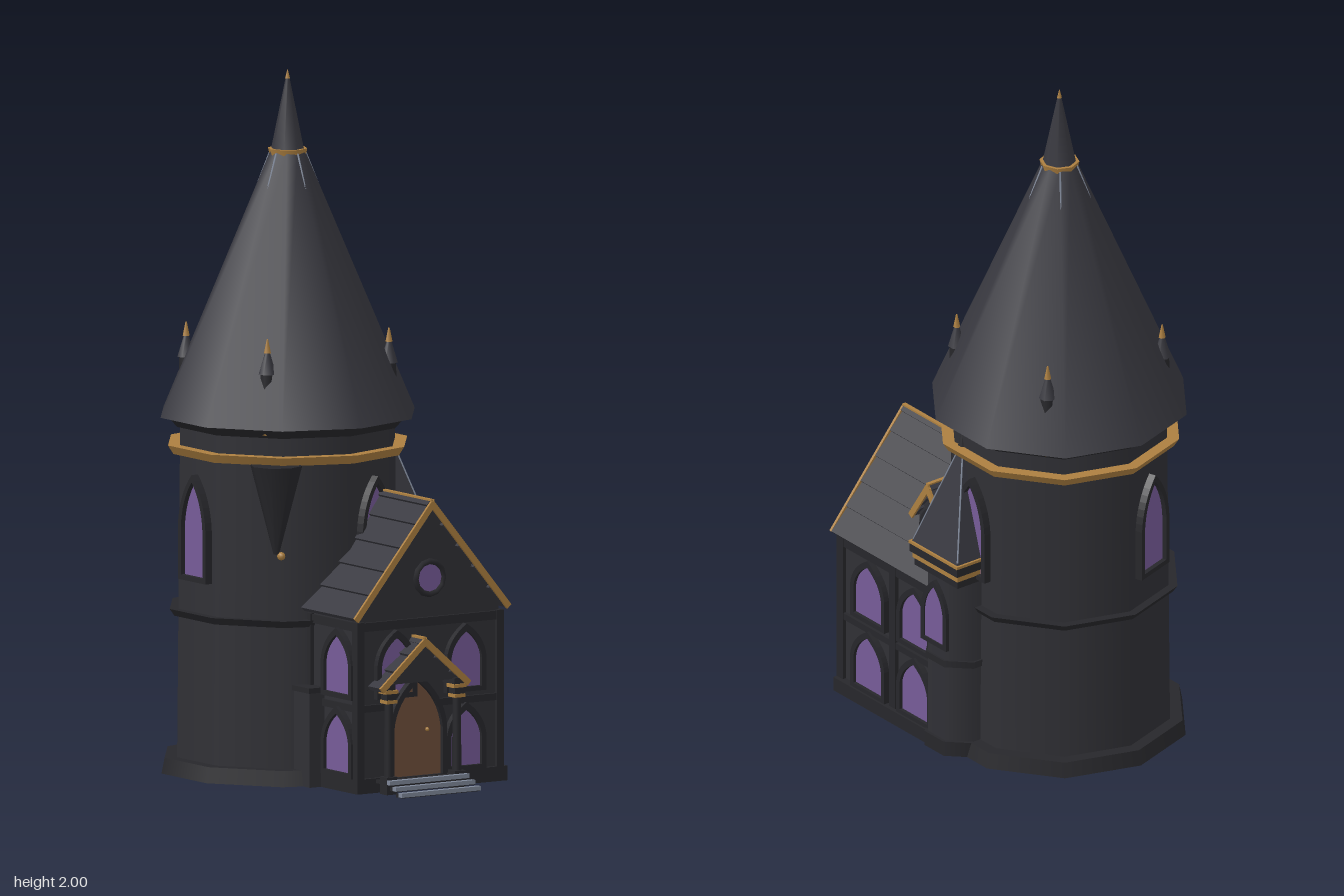
import * as THREE from 'three';

const mat = (name, color, flat = false) => {
  const m = new THREE.MeshStandardMaterial({ color, flatShading: flat });
  m.name = name;
  return m;
};

export function createModel() {
  const wall = mat('charcoal wall', 0x303035);
  const roof = mat('slate roof', 0x38383f);
  const trim = mat('dark trim', 0x27272b);
  const gold = mat('aged gold', 0xac7f40);
  const glass = mat('violet glass', 0x765b98);
  const wood = mat('door wood', 0x6f4e3b);
  const steel = mat('pale stone', 0x7f8899);

  const model = new THREE.Group();
  model.name = 'towerHouse';

  const add = (parent, name, geo, m, x = 0, y = 0, z = 0) => {
    const mesh = new THREE.Mesh(geo, m);
    mesh.name = name;
    mesh.position.set(x, y, z);
    parent.add(mesh);
    return mesh;
  };
  const group = (parent, name, x = 0, y = 0, z = 0, ry = 0) => {
    const g = new THREE.Group();
    g.name = name;
    g.position.set(x, y, z);
    g.rotation.y = ry;
    parent.add(g);
    return g;
  };
  const box = (parent, name, m, x0, x1, y0, y1, z0, z1) =>
    add(parent, name, new THREE.BoxGeometry(x1 - x0, y1 - y0, z1 - z0), m, (x0 + x1) / 2, (y0 + y1) / 2, (z0 + z1) / 2);
  const drum = (parent, name, m, rTop, rBottom, y0, y1, sides = 10) =>
    add(parent, name, new THREE.CylinderGeometry(rTop, rBottom, y1 - y0, sides), m, 0, (y0 + y1) / 2, 0);
  const extrude = (shape, depth) => new THREE.ExtrudeGeometry(shape, { depth, bevelEnabled: false, curveSegments: 8 });
  const poly = (pts) => new THREE.Shape(pts.map((p) => new THREE.Vector2(...p)));

  // Thin rod between two points
  const rod = (parent, name, m, a, b, r) => {
    const p = new THREE.Vector3(...a), q = new THREE.Vector3(...b);
    const mesh = add(parent, name, new THREE.CylinderGeometry(r, r, p.distanceTo(q), 5), m);
    mesh.position.copy(p).add(q).multiplyScalar(0.5);
    mesh.quaternion.setFromUnitVectors(new THREE.Vector3(0, 1, 0), q.sub(p).normalize());
  };

  // Pointed arch outline standing on y = base
  const arch = (w, h, base = 0, Type = THREE.Shape) => {
    const s = new Type(), a = w / 2, spring = base + h * 0.5;
    s.moveTo(-a, base);
    s.lineTo(a, base);
    s.lineTo(a, spring);
    s.quadraticCurveTo(a * 0.9, base + h * 0.8, 0, base + h);
    s.quadraticCurveTo(-a * 0.9, base + h * 0.8, -a, spring);
    s.closePath();
    return s;
  };
  // Framed arched opening on a wall facing local +z
  const archOpening = (parent, name, w, h, x, y, z, ry = 0, pane = glass, depth = 0.018) => {
    const g = group(parent, name, x, y, z, ry);
    const frame = arch(w + 0.03, h + 0.035, -0.014);
    frame.holes.push(arch(w, h, 0, THREE.Path));
    add(g, 'frame', extrude(frame, depth), trim);
    add(g, 'pane', extrude(arch(w, h), 0.008), pane);
  };

  // Gable roof with lapped courses, ridge along local z at y = 0
  const gableRoof = (parent, name, half, rise, z0, z1, courses, goldRidge = true) => {
    const g = parent, len = Math.hypot(half, rise), ang = Math.atan2(rise, half);
    for (const s of [1, -1]) {
      const slope = group(g, name + 'Slope', 0, 0, 0, s > 0 ? 0 : Math.PI);
      slope.rotation.z = 0;
      const tilt = group(slope, 'courses');
      tilt.rotation.z = -ang;
      const [a, b] = s > 0 ? [z0, z1] : [-z1, -z0];
      for (let i = 0; i < courses; i++) {
        const c = len / courses;
        const slab = box(tilt, 'course', roof, i * c - 0.004, (i + 1) * c, -0.014, 0, a, b);
        slab.rotation.z = 0.008 / c;
      }
      const e = s > 0 ? b : a;
      box(tilt, 'goldVerge', gold, 0, len, -0.014, 0.004, Math.min(e, e + s * 0.008), Math.max(e, e + s * 0.008));
    }
    if (goldRidge) box(g, 'goldRidge', gold, -0.006, 0.006, -0.01, 0.006, z0, z1 + 0.005);
  };

  // Main round tower
  const tower = group(model, 'tower', -0.025, 0, -0.152);
  drum(tower, 'plinth', trim, 0.362, 0.371, 0, 0.045);
  drum(tower, 'towerWall', wall, 0.316, 0.325, 0.045, 1.02);
  drum(tower, 'stringCourse', trim, 0.347, 0.333, 0.45, 0.47);
  drum(tower, 'goldBand', gold, 0.352, 0.336, 0.913, 0.938);
  drum(tower, 'eaveRing', trim, 0.35, 0.325, 0.99, 1.018);
  drum(tower, 'mainRoof', roof, 0.05, 0.374, 1.018, 1.77);
  drum(tower, 'spireRing', gold, 0.057, 0.052, 1.755, 1.776, 8);
  drum(tower, 'spire', roof, 0.004, 0.047, 1.776, 1.985, 8);
  drum(tower, 'spireTip', gold, 0.001, 0.007, 1.975, 2, 6);
  for (const deg of [18, 90, 198, 270]) {
    const a = THREE.MathUtils.degToRad(deg);
    archOpening(tower, 'towerWindow', 0.11, 0.27, Math.sin(a) * 0.305, 0.575, Math.cos(a) * 0.305, a, glass, 0.022);
  }
  // Pale ribs at the top of the roof
  for (let i = 0; i < 5; i++) {
    const a = (i * Math.PI * 2) / 5, s = Math.sin(a), c = Math.cos(a);
    rod(tower, 'roofRib', steel, [s * 0.052, 1.765, c * 0.052], [s * 0.1, 1.645, c * 0.1], 0.003);
  }
  // Four pinnacles through the eaves
  for (const sx of [1, -1]) for (const sz of [1, -1]) {
    const p = group(tower, 'pinnacle', sx * 0.207, 0, sz * 0.207);
    drum(p, 'pinnacleFoot', gold, 0.036, 0.03, 0.998, 1.014, 8);
    drum(p, 'pinnacleShaft', trim, 0.02, 0.024, 1.014, 1.17, 6);
    drum(p, 'pinnacleCap', roof, 0.006, 0.025, 1.17, 1.235, 6);
    drum(p, 'pinnacleTip', gold, 0.002, 0.01, 1.23, 1.27, 6);
  }
  // Tapering corbel under the gold band
  const corbel = group(model, 'corbel', -0.232, 0, 0.1);
  drum(corbel, 'corbelCone', trim, 0.075, 0.008, 0.66, 0.915, 8);
  add(corbel, 'corbelKnob', new THREE.SphereGeometry(0.012, 8, 6), gold, 0.01, 0.655, 0.01);

  // Front house
  const house = group(model, 'house', 0.103, 0, 0);
  const body = poly([[-0.238, 0], [0.238, 0], [0.238, 0.515], [0, 0.8], [-0.238, 0.515]]);
  add(house, 'houseWalls', extrude(body, 0.43), wall, 0, 0, -0.055);
  box(house, 'housePlinth', trim, -0.25, 0.262, 0, 0.042, -0.06, 0.386);
  for (const [y0, y1] of [[0.232, 0.252], [0.463, 0.488]])
    box(house, 'floorBand', trim, -0.246, 0.248, y0, y1, -0.06, 0.384);
  for (const sx of [-1, 1]) {
    for (const z of [0.372, 0.134]) box(house, 'wallPost', trim, sx * 0.238 - 0.012, sx * 0.238 + 0.012, 0, 0.49, z - 0.014, z + 0.014);
    for (const y of [0.055, 0.28]) {
      for (const z of sx > 0 ? [0.24, 0.03] : [0.285])
        archOpening(house, 'sideWindow', 0.125, 0.165, sx * 0.238, y, z, (sx * Math.PI) / 2);
      if (sx > 0 || y > 0.2) archOpening(house, 'frontWindow', 0.105, 0.16, sx * 0.118, y, 0.375);
    }
  }
  // Round gable window
  const rose = group(house, 'roundWindow', 0, 0.6, 0.375);
  add(rose, 'frame', new THREE.TorusGeometry(0.047, 0.009, 6, 12), trim, 0, 0, 0.005);
  add(rose, 'pane', new THREE.CylinderGeometry(0.044, 0.044, 0.008, 12), glass, 0, 0, 0.003).rotation.x = Math.PI / 2;
  gableRoof(group(house, 'houseRoof', 0, 0.82, 0), 'houseRoof', 0.264, 0.318, -0.06, 0.39, 5);

  // Dormer on the side slope
  const dormer = group(model, 'dormer', 0, 0, 0.04, Math.PI / 2);
  const dormerWall = poly([[-0.06, 0.5], [0.06, 0.5], [0.06, 0.67], [0, 0.75], [-0.06, 0.67]]);
  add(dormer, 'dormerWall', extrude(dormerWall, 0.15), wall, 0, 0, 0.13);
  archOpening(dormer, 'dormerWindow', 0.065, 0.1, 0, 0.575, 0.28, 0, glass, 0.012);
  gableRoof(group(dormer, 'dormerRoof', 0, 0.768, 0), 'dormerRoof', 0.08, 0.122, 0.12, 0.295, 3);

  // Low buttress on the right flank
  box(model, 'buttress', wall, -0.185, -0.12, 0, 0.27, 0.06, 0.2);
  box(model, 'buttressCap', trim, -0.19, -0.12, 0.27, 0.285, 0.055, 0.205);

  // Side turret with pyramid roof
  const turret = group(model, 'turret', 0.27, 0, -0.085);
  const octagon = (name, m, apothem, y0, y1) => {
    const mesh = drum(turret, name, m, apothem / 0.924, apothem / 0.924, y0, y1, 8);
    mesh.rotation.y = Math.PI / 8;
  };
  octagon('turretPlinth', trim, 0.105, 0, 0.045);
  octagon('turretWall', wall, 0.096, 0.045, 0.58);
  octagon('turretBand', trim, 0.102, 0.28, 0.3);
  const slab = (name, m, h, y0, y1) => box(turret, name, m, -h, h, y0, y1, -h, h);
  slab('turretCornice', trim, 0.098, 0.55, 0.573);
  slab('goldCornice', gold, 0.102, 0.573, 0.592);
  slab('turretEave', trim, 0.108, 0.592, 0.618);
  slab('goldEave', gold, 0.11, 0.618, 0.626);
  const pyramid = add(turret, 'turretRoof', new THREE.ConeGeometry(0.146, 0.325, 4).toNonIndexed(), roof, 0, 0.788, 0);
  pyramid.geometry.computeVertexNormals();
  pyramid.rotation.y = Math.PI / 4;
  drum(turret, 'turretFinial', trim, 0.003, 0.02, 0.915, 0.99, 6);
  for (const sx of [1, -1]) for (const sz of [1, -1])
    rod(turret, 'turretRib', steel, [sx * 0.1, 0.632, sz * 0.1], [sx * 0.012, 0.915, sz * 0.012], 0.0025);
  archOpening(turret, 'turretWindow', 0.085, 0.17, 0.096, 0.35, 0, Math.PI / 2, glass, 0.012);

  // Porch, door and steps
  const porch = group(model, 'porch', 0.05, 0, 0);
  archOpening(porch, 'door', 0.165, 0.27, 0, 0.04, 0.383, 0, wood, 0.02);
  add(porch, 'doorKnob', new THREE.SphereGeometry(0.006, 8, 6), gold, 0.035, 0.17, 0.395);
  const pediment = poly([[-0.125, 0.312], [0.125, 0.312], [0, 0.422]]);
  add(porch, 'pediment', extrude(pediment, 0.05), wall, 0, 0, 0.375);
  gableRoof(group(porch, 'porchRoof', 0, 0.435, 0), 'porchRoof', 0.152, 0.133, 0.37, 0.433, 3);
  for (const sx of [-1, 1]) {
    const post = group(porch, 'porchPost', sx * 0.116, 0, 0.424);
    drum(post, 'postShaft', trim, 0.012, 0.014, 0, 0.265, 8);
    box(post, 'postBase', trim, -0.018, 0.018, 0, 0.05, -0.018, 0.018);
    box(post, 'postCapital', gold, -0.018, 0.018, 0.26, 0.27, -0.018, 0.018);
    box(post, 'postBlock', trim, -0.016, 0.016, 0.27, 0.288, -0.016, 0.016);
    box(post, 'postTop', gold, -0.022, 0.022, 0.288, 0.298, -0.018, 0.018);
    box(post, 'postBeam', trim, -0.016, 0.016, 0.298, 0.315, -0.05, 0.012);
  }
  for (let i = 0; i < 3; i++) {
    const top = 0.042 - i * 0.014, front = 0.46 + i * 0.03;
    box(porch, 'step', trim, -0.133, 0.133, top - 0.014, top - 0.004, i ? front - 0.034 : 0.375, front - 0.002);
    box(porch, 'stepNosing', steel, -0.135, 0.135, top - 0.012, top, front - 0.017, front);
  }
  return model;
}
